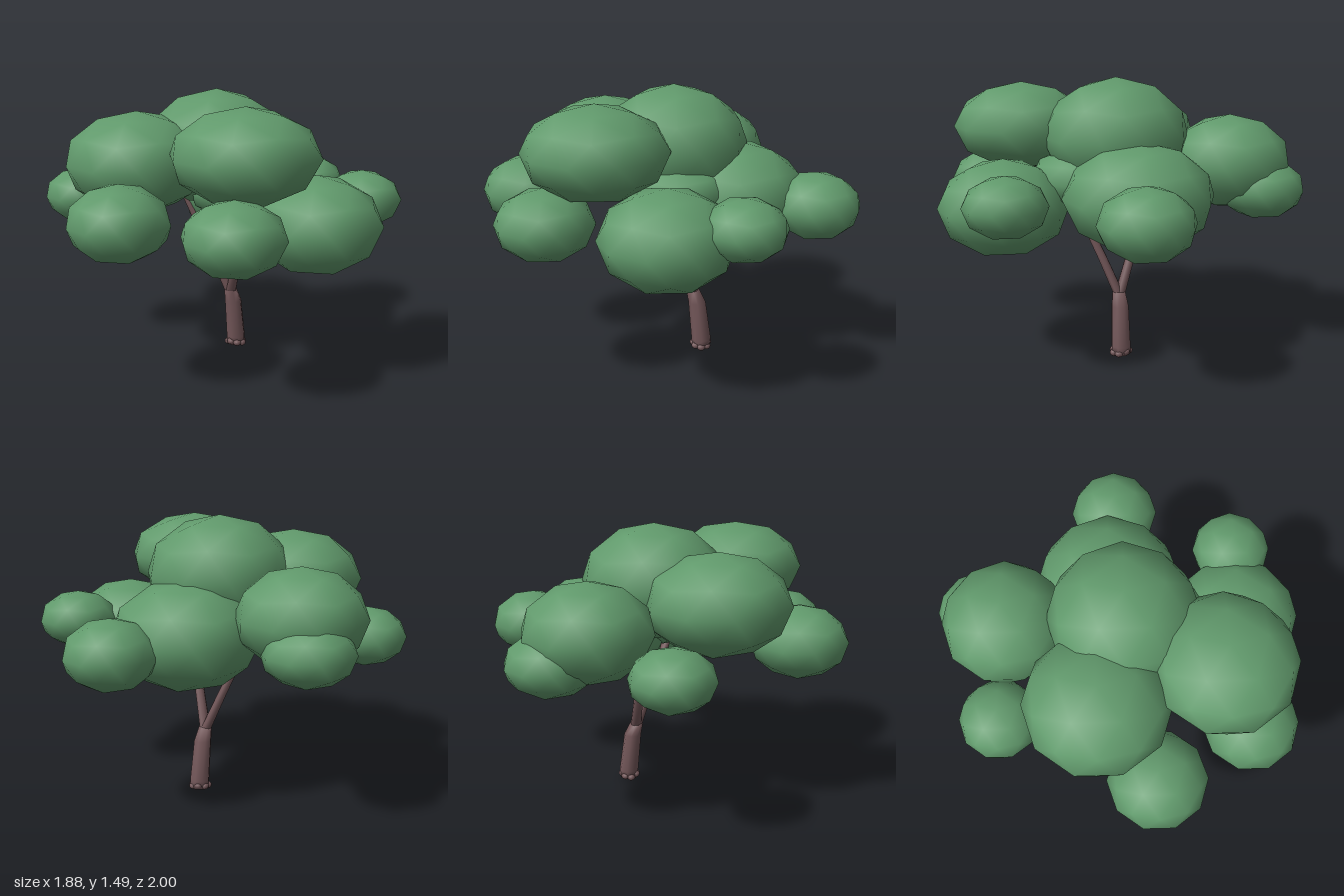
import * as THREE from 'three';

const leafGreen = new THREE.MeshStandardMaterial({ color: 0x619a6c });
leafGreen.name = 'leafGreen';
const barkBrown = new THREE.MeshStandardMaterial({ color: 0x735759 });
barkBrown.name = 'barkBrown';

// Coarse smooth sphere standing on one of its corners
const blob = new THREE.IcosahedronGeometry(1, 1);
blob.rotateZ(-Math.atan(2 / (1 + Math.sqrt(5))));

function addBlob(parent, name, material, [x, y, z, r, ry]) {
  const mesh = new THREE.Mesh(blob, material);
  mesh.name = name;
  mesh.position.set(x, y, z);
  mesh.scale.set(r, ry, r);
  parent.add(mesh);
}

// Tapered limb through a list of [x, y, z, radius]
function addLimb(parent, name, points, sides) {
  const pos = [], index = [];
  points.forEach(([x, y, z, r], i) => {
    for (let j = 0; j < sides; j++) {
      const a = (j / sides) * Math.PI * 2;
      pos.push(x + Math.cos(a) * r, y, z + Math.sin(a) * r);
      if (i === points.length - 1) continue;
      const p = i * sides + j, q = i * sides + (j + 1) % sides;
      index.push(p, p + sides, q, q, p + sides, q + sides);
    }
  });
  // End caps
  const top = (points.length - 1) * sides;
  for (let j = 1; j < sides - 1; j++) {
    index.push(0, j, j + 1, top, top + j + 1, top + j);
  }
  const geo = new THREE.BufferGeometry();
  geo.setAttribute('position', new THREE.Float32BufferAttribute(pos, 3));
  geo.setIndex(index);
  geo.computeVertexNormals();
  const mesh = new THREE.Mesh(geo, barkBrown);
  mesh.name = name;
  parent.add(mesh);
}

export function createModel() {
  const tree = new THREE.Group();
  tree.name = 'tree';

  // Leaning trunk that forks into two branches
  const wood = new THREE.Group();
  wood.name = 'wood';
  addLimb(wood, 'trunk', [
    [0.048, 0.015, -0.19, 0.052],
    [0.048, 0.06, -0.19, 0.054],
    [0.042, 0.28, -0.165, 0.048],
    [0.038, 0.35, -0.142, 0.037],
  ], 8);
  addLimb(wood, 'rightBranch', [
    [0.045, 0.31, -0.15, 0.03],
    [-0.045, 0.53, -0.113, 0.026],
    [-0.21, 0.92, -0.045, 0.022],
  ], 8);
  addLimb(wood, 'leftBranch', [
    [0.03, 0.31, -0.15, 0.03],
    [0.105, 0.53, -0.08, 0.026],
    [0.25, 0.92, 0.045, 0.022],
  ], 8);

  // Knobbly root flare
  for (let i = 0; i < 7; i++) {
    const a = (i / 7) * Math.PI * 2;
    addBlob(wood, 'root', barkBrown, [
      0.048 + Math.cos(a) * 0.04, 0.024 + (i % 3) * 0.005, -0.187 + Math.sin(a) * 0.038, 0.024, 0.02,
    ]);
  }
  tree.add(wood);

  // Canopy: x, y, z, radius, half height
  const canopy = new THREE.Group();
  canopy.name = 'canopy';
  [
    [0.005, 1.18, -0.035, 0.392, 0.31],
    [-0.26, 1.13, 0.33, 0.376, 0.262],
    [0.385, 1.213, 0.367, 0.369, 0.238],
    [-0.56, 1.04, -0.265, 0.33, 0.25],
    [0.03, 0.91, -0.35, 0.39, 0.283],
    [0.615, 0.84, 0.03, 0.34, 0.252],
    [0.17, 0.97, -0.03, 0.3, 0.17],
  ].forEach(p => addBlob(canopy, 'largeLeafClump', leafGreen, p));
  [
    [0.205, 0.88, -0.767, 0.235, 0.178],
    [0.725, 0.92, -0.322, 0.209, 0.152],
    [-0.742, 0.882, 0.172, 0.212, 0.154],
    [-0.09, 0.91, 0.74, 0.255, 0.19],
    [0.462, 0.878, 0.618, 0.25, 0.182],
    [-0.665, 0.91, -0.42, 0.23, 0.162],
  ].forEach(p => addBlob(canopy, 'smallLeafClump', leafGreen, p));
  tree.add(canopy);

  return tree;
}
